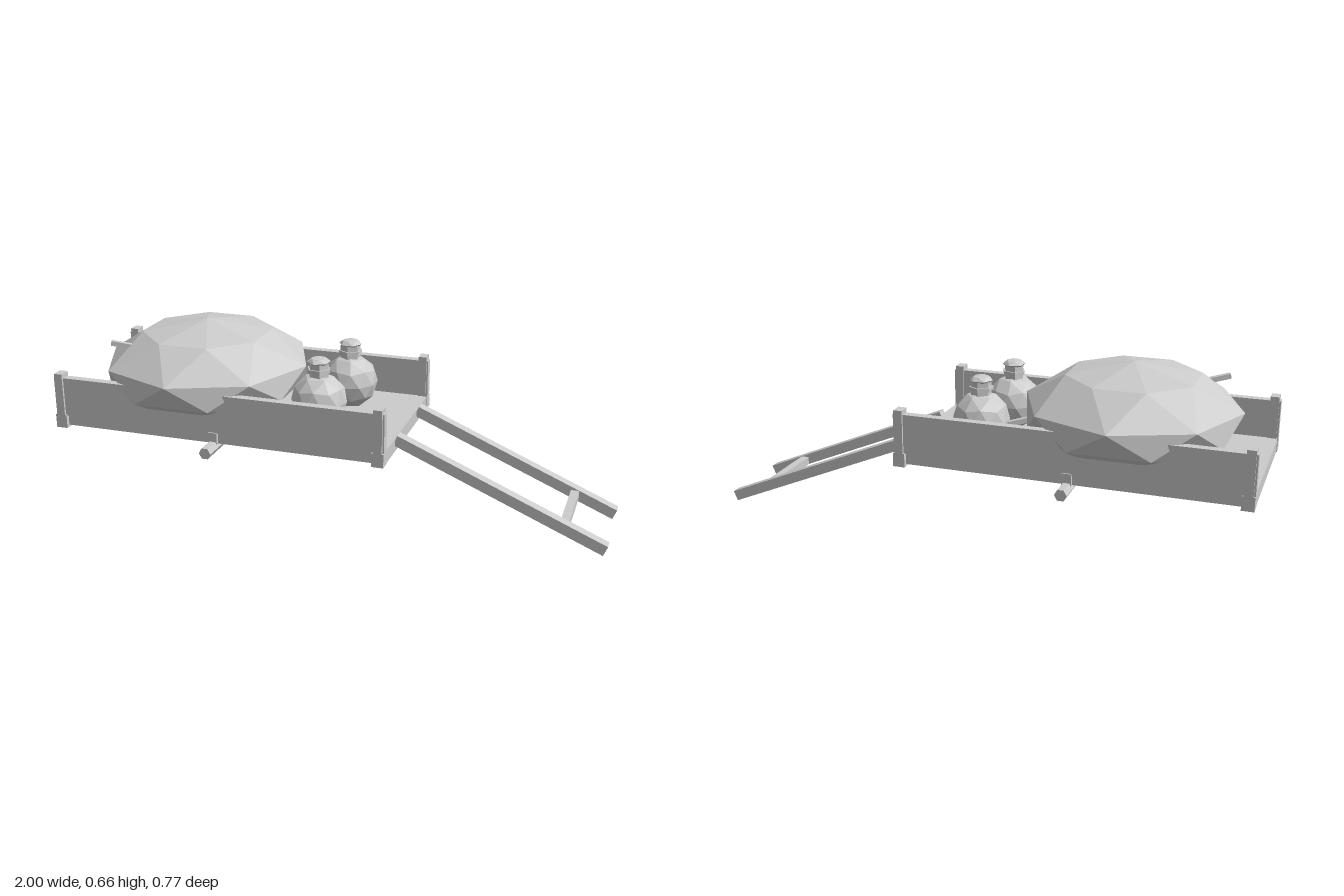
import * as THREE from 'three';

const grey = new THREE.MeshStandardMaterial({ color: 0xcccccc });
grey.name = 'plain grey';

// Faceted solid from [radius, y] rings, alternate rings turned half a step
function facetedGeometry(rings, sides, phase = 0) {
  const point = (k, j) => {
    const a = ((j + ((k + phase) % 2) * 0.5) / sides) * Math.PI * 2;
    const [r, y] = rings[k];
    return [r * Math.cos(a), y, -r * Math.sin(a)];
  };
  const pos = [];
  for (let k = 0; k < rings.length - 1; k++) {
    const shift = (k + phase) % 2;
    for (let j = 0; j < sides; j++) {
      const up = j + shift;
      if (rings[k][0] > 0) pos.push(...point(k, j), ...point(k, j + 1), ...point(k + 1, up));
      if (rings[k + 1][0] > 0) pos.push(...point(k, j + 1), ...point(k + 1, up + 1), ...point(k + 1, up));
    }
  }
  const g = new THREE.BufferGeometry();
  g.setAttribute('position', new THREE.Float32BufferAttribute(pos, 3));
  g.computeVertexNormals();
  return g;
}

// Flat-sided prism
function prism(radius, height) {
  const g = new THREE.CylinderGeometry(radius, radius, height, 6).toNonIndexed();
  g.computeVertexNormals();
  return g;
}

export function createModel() {
  const model = new THREE.Group();
  model.name = 'handcart';

  const add = (name, geometry, x = 0, y = 0, z = 0, parent = model) => {
    const mesh = new THREE.Mesh(geometry, grey);
    mesh.name = name;
    mesh.position.set(x, y, z);
    parent.add(mesh);
    return mesh;
  };
  // Box given by its lower and upper corners
  const box = (name, [x0, y0, z0], [x1, y1, z1]) =>
    add(name, new THREE.BoxGeometry(x1 - x0, y1 - y0, z1 - z0), (x0 + x1) / 2, (y0 + y1) / 2, (z0 + z1) / 2);
  // Square bar running from a to b
  const bar = (name, a, b, height, width) => {
    const start = new THREE.Vector3(...a), end = new THREE.Vector3(...b);
    const mesh = add(name, new THREE.BoxGeometry(width, height, start.distanceTo(end)));
    mesh.position.copy(start).lerp(end, 0.5);
    mesh.lookAt(end);
    return mesh;
  };

  // Thin floor set into the top of an open frame
  box('floor', [-0.99, 0.332, -0.285], [0.238, 0.338, 0.285]);
  box('endSillRear', [-0.998, 0.288, -0.292], [-0.965, 0.337, 0.292]);
  box('endSillFront', [0.213, 0.288, -0.292], [0.246, 0.337, 0.292]);

  for (const s of [-1, 1]) {
    const span = (a, b) => (s > 0 ? [a, b] : [-b, -a]);
    const [railIn, railOut] = span(0.282, 0.313);
    const [sillIn, sillOut] = span(0.274, 0.306);
    const [postIn, postOut] = span(0.277, 0.321);
    const [bracketIn, bracketOut] = span(0.285, 0.318);
    // Side board above its sill
    box('sideBoard', [-0.99, 0.335, railIn], [0.235, 0.478, railOut]);
    box('sideSill', [-0.98, 0.296, sillIn], [0.228, 0.336, sillOut]);
    // Corner posts with a wider foot and a raised end plate
    for (const [x0, x1] of [[-1, -0.957], [0.205, 0.248]]) {
      box('cornerPostFoot', [x0, 0.288, postIn], [x1, 0.338, postOut]);
      box('cornerPost', [x0 + 0.006, 0.33, postIn], [x1 - 0.006, 0.494, postOut]);
      box('cornerPostPlate', [x0, 0.338, railIn], [x1, 0.478, railOut]);
    }
    box('axleBracket', [-0.397, 0.286, bracketIn], [-0.363, 0.338, bracketOut]);
    // Pull shafts resting on the ground
    bar('pullShaft', [0.247, 0.331, s * 0.15], [0.992, 0.018, s * 0.15], 0.039, 0.039);
  }
  bar('shaftCrossbar', [0.845, 0.079, -0.135], [0.845, 0.079, 0.135], 0.03, 0.03);

  // Six-sided axle
  const axle = prism(0.022, 0.772);
  axle.rotateY(Math.PI / 2);
  axle.rotateX(Math.PI / 2);
  add('axle', axle, -0.38, 0.286, 0);

  // Large sack, its flat base just reaching through the floor
  const sack = [[0, 0.3315], [0.228, 0.3315], [0.368, 0.42], [0.386, 0.51], [0.239, 0.612], [0, 0.658]];
  add('sack', facetedGeometry(sack, 8, 1), -0.525, 0, 0);

  // Two round jars with collared necks and caps
  const body = new THREE.IcosahedronGeometry(0.102, 1);
  body.rotateZ(-Math.atan(2 / (1 + Math.sqrt(5))));
  body.computeVertexNormals();
  const cap = facetedGeometry([[0, 0.562], [0.028, 0.562], [0.043, 0.574], [0.027, 0.586], [0, 0.588]], 6);
  for (const [x, z, turn] of [[-0.008, -0.12, 0], [-0.05, 0.117, 0.4]]) {
    const jar = new THREE.Group();
    jar.name = 'jar';
    jar.position.set(x, 0, z);
    jar.rotation.y = turn;
    model.add(jar);
    add('jarBody', body, 0, 0.43, 0, jar);
    add('jarNeck', prism(0.037, 0.06), 0, 0.54, 0, jar);
    add('jarCollar', prism(0.043, 0.013), 0, 0.543, 0, jar);
    add('jarCap', cap, 0, 0, 0, jar);
  }

  // Thin stick pushed through the load
  bar('stick', [-0.83, 0.586, 0.18], [0.062, 0.378, -0.174], 0.018, 0.018);

  return model;
}
